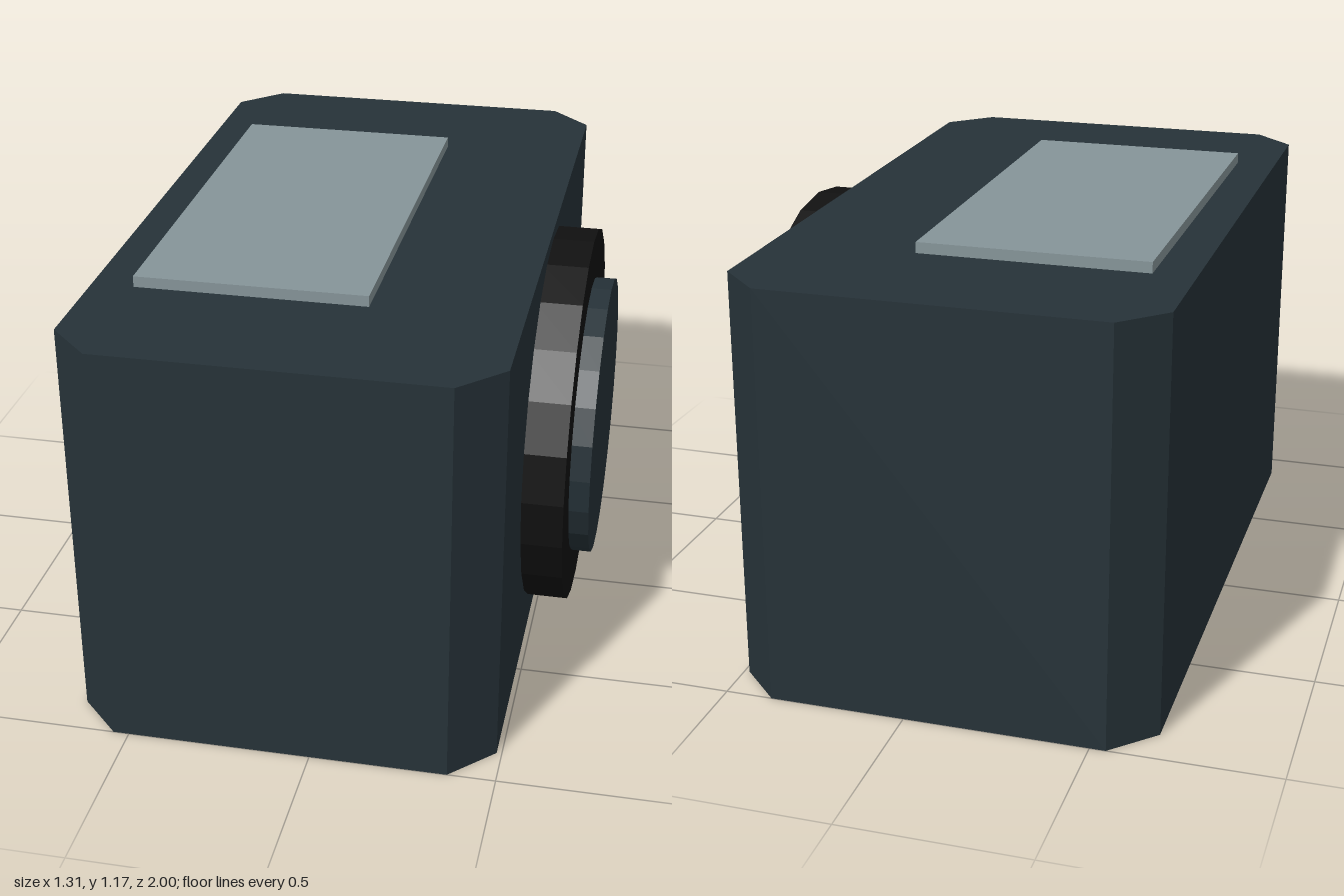
import * as THREE from 'three';

export function createModel() {
  const group = new THREE.Group();
  const mat = (name, color) => {
    const m = new THREE.MeshStandardMaterial({ color, flatShading: true });
    m.name = name;
    return m;
  };
  const slate = mat('dark slate', 0x263238);
  const black = mat('black', 0x111111);
  const grey = mat('pale grey', 0x869599);

  const add = (name, geometry, material, x, y, z) => {
    const mesh = new THREE.Mesh(geometry, material);
    mesh.name = name;
    mesh.position.set(x, y, z);
    group.add(mesh);
    return mesh;
  };

  // Body: rectangle with cut corners, extruded upwards
  const w = 0.572, d = 1, c = 0.115, height = 1.142;
  const outline = new THREE.Shape([
    [w, -d + c], [w, d - c], [w - c, d], [-w + c, d],
    [-w, d - c], [-w, -d + c], [-w + c, -d], [w - c, -d],
  ].map(([x, y]) => new THREE.Vector2(x, y)));
  const body = new THREE.ExtrudeGeometry(outline, { depth: height, bevelEnabled: false });
  body.rotateX(-Math.PI / 2);
  add('body', body, slate, -0.086, 0, 0);

  // Top panel
  add('topPanel', new THREE.BoxGeometry(0.628, 0.03, 1.2), grey, -0.23, height + 0.015, 0);

  // Round side fitting: black collar and raised disc
  const disc = (name, radius, x0, x1, material) => {
    const g = new THREE.CylinderGeometry(radius, radius, x1 - x0, 24);
    g.rotateZ(-Math.PI / 2);
    add(name, g, material, (x0 + x1) / 2, 0.573, 0);
  };
  disc('collar', 0.542, 0.47, 0.6, black);
  disc('raisedDisc', 0.4, 0.59, 0.656, slate);

  return group;
}
